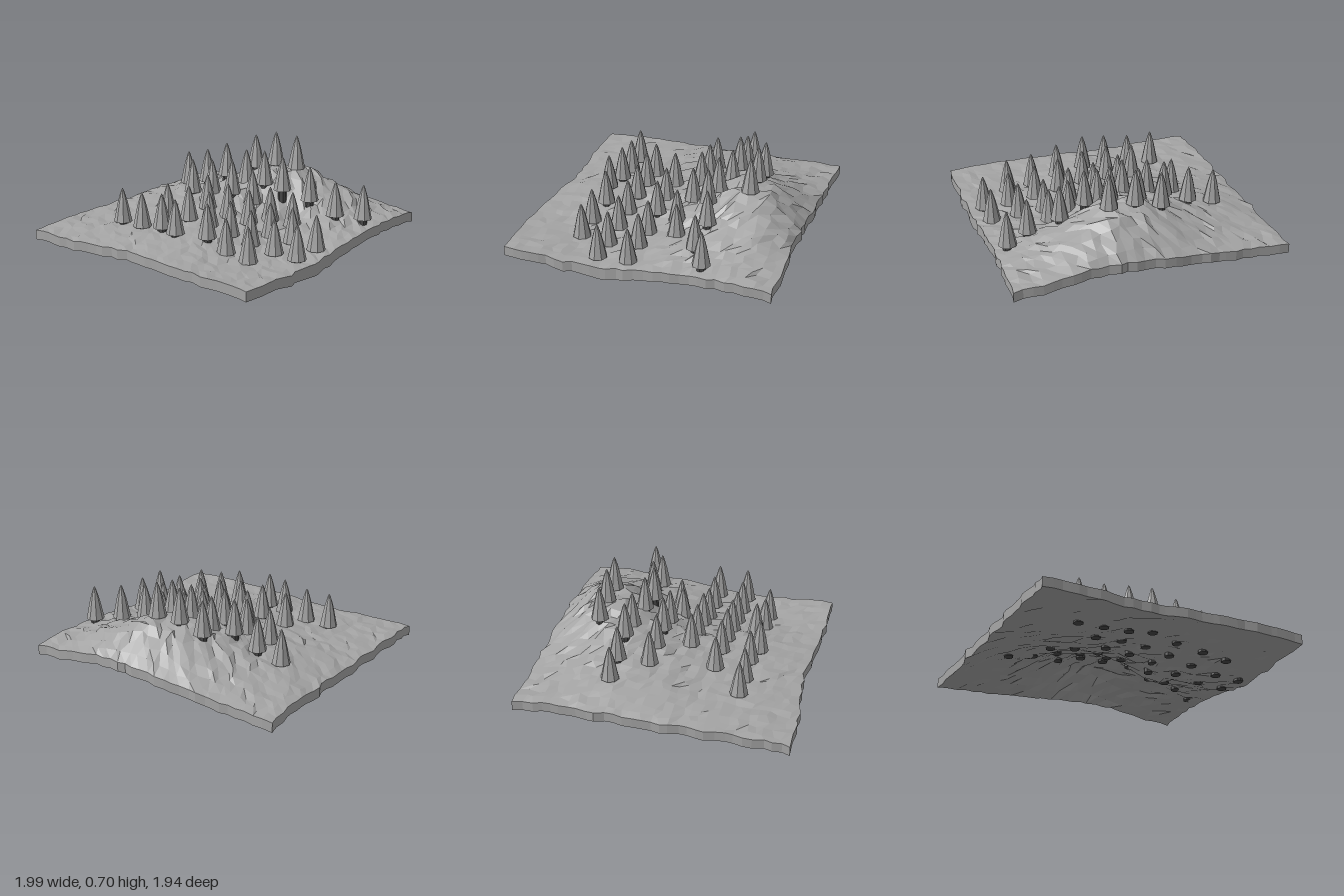
import * as THREE from 'three';

const grey = new THREE.MeshStandardMaterial({ color: 0xa4a4a4, flatShading: true });
grey.name = 'stone grey';
const dark = new THREE.MeshStandardMaterial({ color: 0x484848, flatShading: true });
dark.name = 'dark trunk grey';

// Ground heights in hundredths, from back (z = -1) to front (z = 1), left to right in x
const HEIGHTS = [
  [15, 16, 18, 20, 23, 24, 23, 20, 18],
  [16, 19, 24, 32, 42, 45, 35, 25, 20],
  [15, 22, 27, 37, 45, 45, 34, 25, 19],
  [15, 21, 26, 32, 34, 31, 23, 21, 17],
  [14, 19, 22, 25, 25, 22, 16, 15, 14],
  [14, 16, 18, 20, 22, 18, 14, 12, 11],
  [14, 15, 16, 17, 19, 18, 13, 11, 11],
  [13, 14, 15, 16, 17, 16, 13, 12, 12],
  [12, 12, 12, 13, 14, 14, 14, 14, 13],
];

// Trees by row: x, z, height of the tip
const TREES = [
  [[-0.17, -0.58, 0.66], [0.02, -0.58, 0.71], [0.21, -0.58, 0.71]],
  [[-0.66, -0.36, 0.49], [-0.47, -0.36, 0.54], [-0.28, -0.36, 0.62], [-0.09, -0.36, 0.6],
    [0.11, -0.32, 0.63], [0.29, -0.3, 0.62], [0.49, -0.36, 0.565], [0.72, -0.35, 0.5], [0.89, -0.45, 0.485]],
  [[-0.43, -0.14, 0.51], [-0.24, -0.14, 0.54], [-0.05, -0.14, 0.57], [0.14, -0.14, 0.53],
    [0.34, -0.09, 0.45], [0.5, -0.14, 0.43]],
  [[-0.1, 0.08, 0.5], [0.09, 0.08, 0.47], [0.28, 0.08, 0.46], [0.47, 0.08, 0.4],
    [0.66, 0.08, 0.4], [0.86, 0.08, 0.39]],
  [[-0.29, 0.3, 0.45], [-0.09, 0.3, 0.47], [0.1, 0.3, 0.46], [0.29, 0.3, 0.43],
    [0.47, 0.3, 0.4], [0.67, 0.3, 0.38], [0.86, 0.3, 0.38]],
  [[-0.53, 0.52, 0.42], [-0.34, 0.52, 0.42], [-0.15, 0.52, 0.45], [0.01, 0.56, 0.45],
    [0.24, 0.49, 0.45], [0.43, 0.52, 0.39], [0.62, 0.52, 0.37]],
];

function seeded(seed) {
  return () => {
    seed = (seed * 16807) % 2147483647;
    return (seed / 2147483647) * 2 - 1; // -1 to 1
  };
}

const bump = (x, z, cx, cz, r) => Math.exp(-((x - cx) ** 2 + (z - cz) ** 2) / (r * r));

// Height of the ground, with a hollow beside the hill
function groundHeight(x, z) {
  const u = THREE.MathUtils.clamp((x + 1) * 4, 0, 7.999);
  const v = THREE.MathUtils.clamp((z + 1) * 4, 0, 7.999);
  const i = Math.floor(u), j = Math.floor(v), lerp = THREE.MathUtils.lerp;
  const h = lerp(
    lerp(HEIGHTS[j][i], HEIGHTS[j][i + 1], u - i),
    lerp(HEIGHTS[j + 1][i], HEIGHTS[j + 1][i + 1], u - i), v - j) / 100;
  return h - 0.05 * bump(x, z, 0.4, -0.18, 0.13);
}

const thickness = (x, z) => 0.07 + 0.035 * bump(x, z, 0.75, 0.2, 0.3);

// Slab of rough ground: jittered top grid, matching underside, four rim walls
function createGround() {
  const N = 30, W = N + 1, rand = seeded(77);
  const positions = [], under = [], index = [];
  for (let j = 0; j <= N; j++) {
    for (let i = 0; i <= N; i++) {
      const a = (i / N) * 2 - 1, b = (j / N) * 2 - 1;
      const inside = i > 0 && i < N && j > 0 && j < N;
      const rough = 0.008 + 0.014 * bump(a, b, 0.2, -0.3, 0.5);
      const x = a * 0.972 - b * 0.013 + rand() * (inside ? 0.02 : 0.014);
      // front edge bows inwards near the middle
      const z = b * 0.96 + rand() * (inside ? 0.02 : 0.012) - 0.05 * bump(a, b, -0.15, 1, 0.35);
      const y = groundHeight(a, b) + rand() * rough * (inside ? 1 : 0.6);
      positions.push(x, y, z);
      under.push(x, y - thickness(a, b), z);
    }
  }
  positions.push(...under);
  const M = W * W;
  const quad = (a, b, c, d) => index.push(a, b, c, a, c, d);
  for (let j = 0; j < N; j++) {
    for (let i = 0; i < N; i++) {
      const p = j * W + i;
      quad(p, p + W, p + W + 1, p + 1);
      quad(M + p, M + p + 1, M + p + W + 1, M + p + W);
    }
  }
  const wall = (a, b) => quad(a, M + a, M + b, b);
  for (let k = 0; k < N; k++) {
    wall(N * W + k, N * W + k + 1);             // front
    wall(k + 1, k);                             // back
    wall(k * W, (k + 1) * W);                   // low x side
    wall((k + 1) * W + N, k * W + N);           // high x side
  }
  const geometry = new THREE.BufferGeometry();
  geometry.setAttribute('position', new THREE.Float32BufferAttribute(positions, 3));
  geometry.setIndex(index);
  geometry.computeVertexNormals();
  const ground = new THREE.Mesh(geometry, grey);
  ground.name = 'ground';
  return ground;
}

// Eight-sided crown, closed below, with its tip at the origin
const crownGeometry = new THREE.LatheGeometry(
  [[0, -0.245], [0.035, -0.245], [0.066, -0.25], [0.055, -0.2], [0.043, -0.14],
    [0.034, -0.1], [0.023, -0.06], [0.01, -0.018], [0, 0]].map(([r, y]) => new THREE.Vector2(r, y)), 8);

function createTree([x, z, tip]) {
  const tree = new THREE.Group();
  tree.name = 'tree';
  const crown = new THREE.Mesh(crownGeometry, grey);
  crown.name = 'crown';
  crown.position.set(x, tip, z);

  // trunk runs through the slab and just shows underneath
  const top = tip - 0.24;
  const bottom = Math.max(0.005, groundHeight(x, z) - thickness(x, z) - 0.012);
  const trunk = new THREE.Mesh(new THREE.CylinderGeometry(0.03, 0.036, top - bottom, 8), dark);
  trunk.name = 'trunk';
  trunk.position.set(x, (top + bottom) / 2, z);
  tree.add(crown, trunk);
  return tree;
}

export function createModel() {
  const model = new THREE.Group();
  model.name = 'wooded hillside';
  const parts = new THREE.Group();
  parts.name = 'landscape';
  parts.add(createGround());
  for (const row of TREES) for (const spot of row) parts.add(createTree(spot));

  // stand the slab on y = 0
  parts.position.y = -new THREE.Box3().setFromObject(parts).min.y;
  model.add(parts);
  return model;
}
